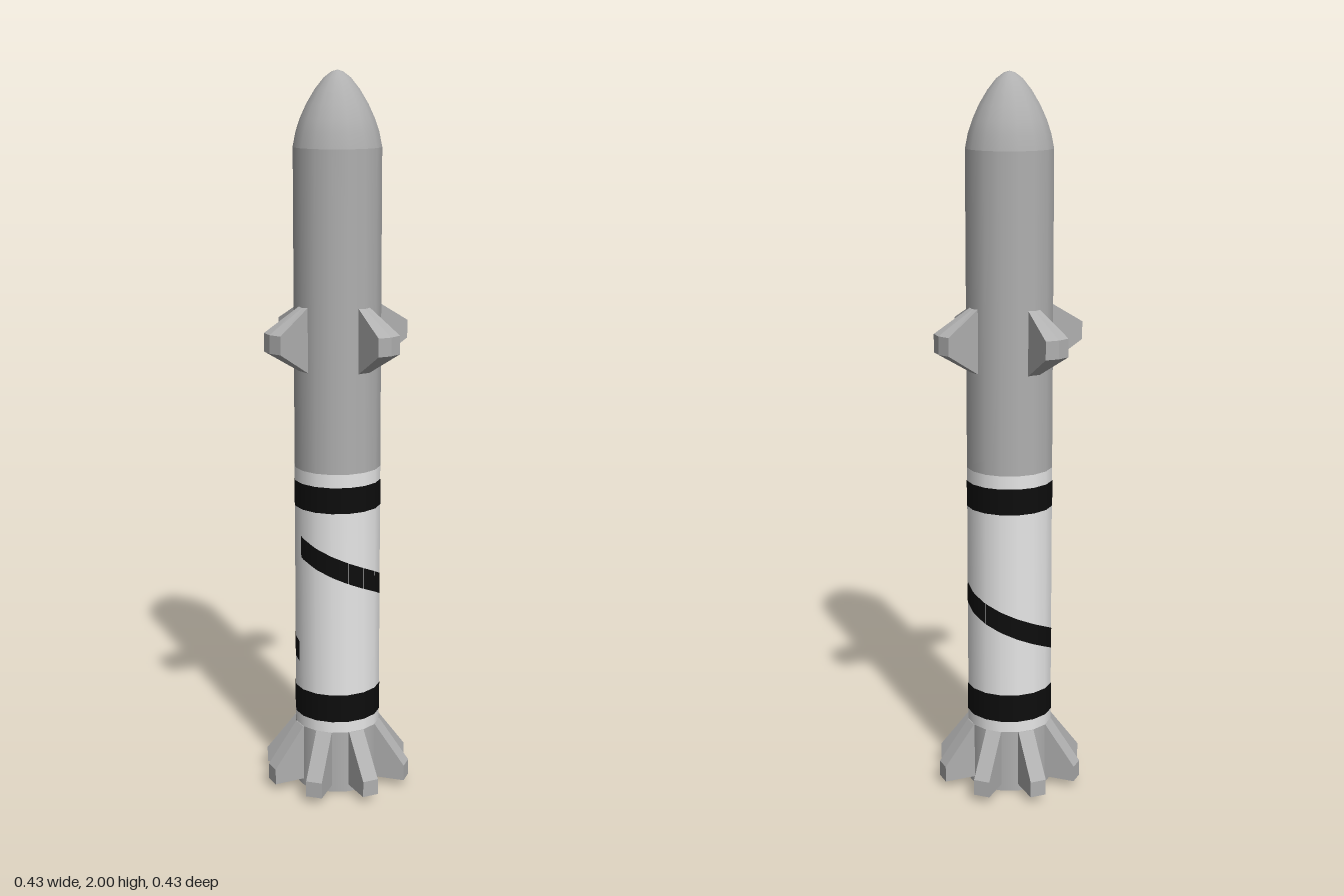
import * as THREE from 'three';

const R = 0.12, SIDES = 16, STEP = (Math.PI * 2) / SIDES;
const rad = THREE.MathUtils.degToRad;

function material(name, color) {
  const m = new THREE.MeshStandardMaterial({ color });
  m.name = name;
  return m;
}

// Revolved section from [radius, height] pairs
function lathe(points) {
  return new THREE.LatheGeometry(points.map(([r, y]) => new THREE.Vector2(r, y)), SIDES);
}

// Point on the faceted hull at angle a (0 = front, growing towards +x)
function hullPoint(a, y, lift) {
  const local = a - (Math.floor(a / STEP) + 0.5) * STEP;
  const r = ((R + lift) * Math.cos(STEP / 2)) / Math.cos(local);
  return [r * Math.sin(a), y, r * Math.cos(a)];
}

// Spiral band hugging the hull for almost one full turn
function spiralGeometry(start, end, width) {
  const n = 62, pos = [], nor = [], index = [];
  for (let i = 0; i <= n; i++) {
    const a = start + ((end - start) * i) / n;
    const y = 0.648 - (0.32 * a) / (Math.PI * 2);
    for (const s of [-0.5, 0.5]) {
      pos.push(...hullPoint(a, y + s * width, 0.001));
      nor.push(Math.sin(a), 0, Math.cos(a));
    }
    if (i < n) {
      const k = i * 2;
      index.push(k, k + 2, k + 1, k + 1, k + 2, k + 3);
    }
  }
  const g = new THREE.BufferGeometry();
  g.setAttribute('position', new THREE.Float32BufferAttribute(pos, 3));
  g.setAttribute('normal', new THREE.Float32BufferAttribute(nor, 3));
  g.setIndex(index);
  return g;
}

// Wedge fin that widens outward and gets thinner in height
function upperFinGeometry() {
  const box = new THREE.BoxGeometry(1, 1, 1, 1, 1, 2);
  const p = box.attributes.position;
  for (let i = 0; i < p.count; i++) {
    const t = p.getX(i) + 0.5, side = p.getZ(i);
    const tip = Math.abs(side) < 0.1 ? 0.228 : 0.223;
    const r = THREE.MathUtils.lerp(0.11, tip, t);
    const half = THREE.MathUtils.lerp(0.093, 0.025, t);
    const a = side * rad(19);
    p.setXYZ(i, r * Math.cos(a), 1.293 + p.getY(i) * 2 * half, r * Math.sin(a));
  }
  const g = box.toNonIndexed();
  g.computeVertexNormals();
  return g;
}

// Straight slab fin with a sloping top
function tailFinGeometry() {
  const shape = new THREE.Shape([
    [0.105, 0.02], [0.207, 0.02], [0.207, 0.065], [0.12, 0.18], [0.105, 0.18],
  ].map(([x, y]) => new THREE.Vector2(x, y)));
  const g = new THREE.ExtrudeGeometry(shape, { depth: 0.046, bevelEnabled: false });
  return g.translate(0, 0, -0.023);
}

export function createModel() {
  const group = new THREE.Group();
  const grey = material('hull grey', 0xb0b0b0);
  const white = material('paint white', 0xf0f0f0);
  const black = material('stripe black', 0x0d0d0d);

  function add(name, geometry, mat) {
    const mesh = new THREE.Mesh(geometry, mat);
    mesh.name = name;
    group.add(mesh);
    return mesh;
  }

  // Hull sections
  add('noseCone', lathe([[R, 1.8], [0.112, 1.84], [0.1, 1.875], [0.083, 1.912],
    [0.06, 1.95], [0.036, 1.98], [0.016, 1.995], [0, 2]]), grey);
  add('upperBody', lathe([[R, 0.93], [R, 1.8]]), grey);
  add('lowerBody', lathe([[R, 0.18], [R, 0.93]]), white);
  add('tailBody', lathe([[R, 0], [R, 0.18]]), grey);

  // Hollow tail end
  add('tailRim', lathe([[0.09, 0], [R, 0]]), grey);
  add('nozzleWall', lathe([[0.09, 0.1], [0.09, 0]]), grey);
  add('nozzleCap', lathe([[0, 0.1], [0.09, 0.1]]), grey);

  // Painted stripes
  for (const [name, y0, y1] of [['upperStripe', 0.82, 0.893], ['lowerStripe', 0.212, 0.292]]) {
    add(name, lathe([[R + 0.001, y0], [R + 0.001, y1]]), black);
  }
  add('spiralStripe', spiralGeometry(rad(-72), rad(281), 0.06), black);

  // Four upper fins and eight tail fins
  const upperFin = upperFinGeometry(), tailFin = tailFinGeometry();
  for (let i = 0; i < 4; i++) {
    add('upperFin', upperFin, grey).rotation.y = rad(23.2 + i * 90);
  }
  for (let i = 0; i < 8; i++) {
    add('tailFin', tailFin, grey).rotation.y = rad(11.5 + i * 45);
  }
  return group;
}
